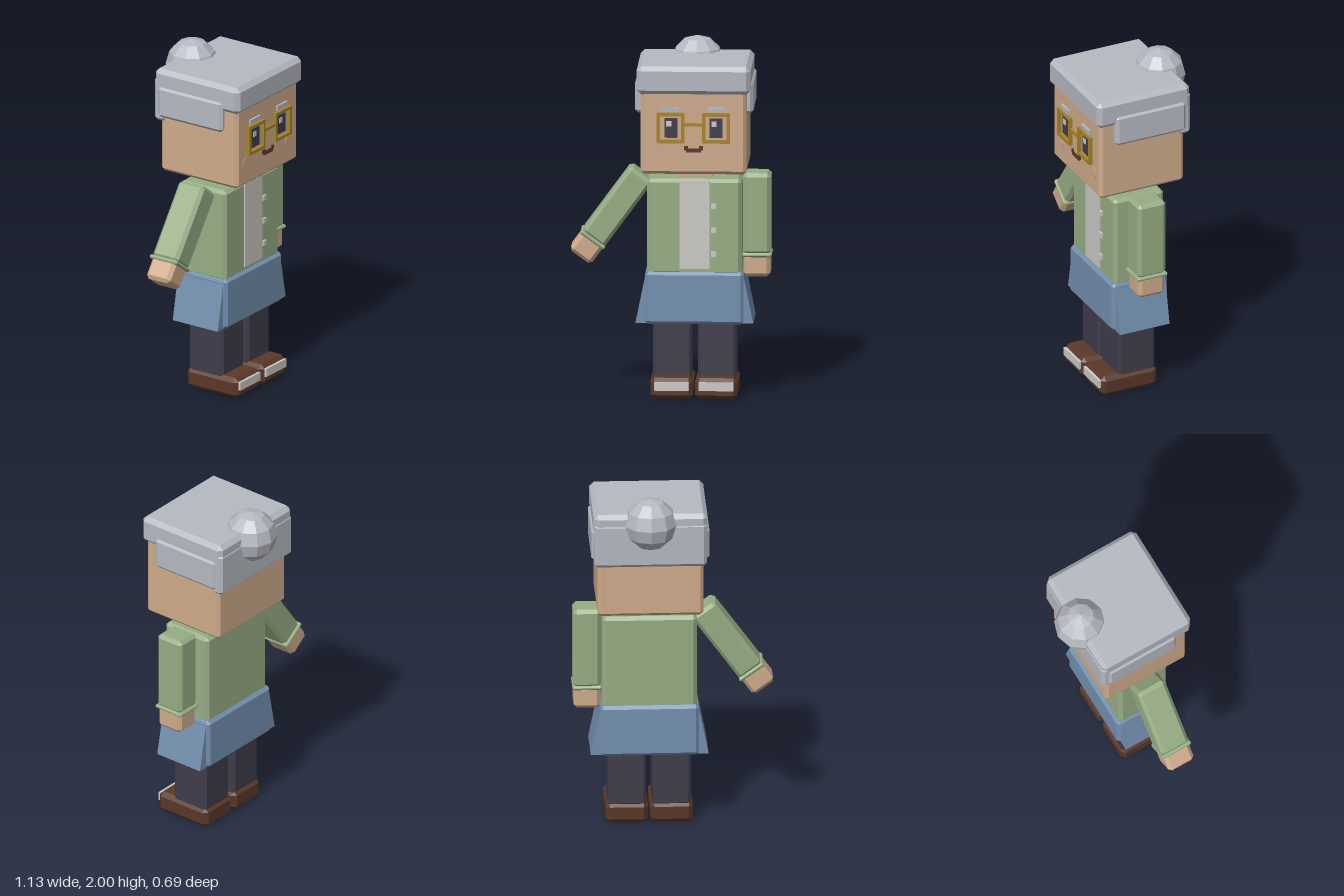
import * as THREE from 'three';
import { ConvexGeometry } from 'three/addons/geometries/ConvexGeometry.js';

const paint = (name, hex) => {
  const m = new THREE.MeshStandardMaterial({ color: hex });
  m.name = name;
  return m;
};

const CX = 0.132; // x of the body's centre line

// Box with flat chamfered edges
function chamferBox(w, h, d, b) {
  const pts = [];
  for (const x of [-1, 1]) for (const y of [-1, 1]) for (const z of [-1, 1]) {
    const X = w / 2, Y = h / 2, Z = d / 2;
    pts.push(
      new THREE.Vector3(x * X, y * (Y - b), z * (Z - b)),
      new THREE.Vector3(x * (X - b), y * Y, z * (Z - b)),
      new THREE.Vector3(x * (X - b), y * (Y - b), z * Z));
  }
  return new ConvexGeometry(pts);
}

export function createModel() {
  const skin = paint('skin', 0xcfab8b);
  const hair = paint('silver hair', 0xb5b9c1);
  const green = paint('cardigan green', 0x97ae85);
  const cream = paint('shirt cream', 0xcdcac6);
  const blue = paint('skirt blue', 0x7490b0);
  const navy = paint('dark trousers', 0x3f3d4b);
  const brown = paint('shoe brown', 0x593828);
  const gold = paint('glasses gold', 0xa88426);

  const model = new THREE.Group();
  model.name = 'figure';

  const add = (name, geometry, material, x = 0, y = 0, z = 0, parent = model) => {
    const mesh = new THREE.Mesh(geometry, material);
    mesh.name = name;
    mesh.position.set(x, y, z);
    parent.add(mesh);
    return mesh;
  };
  // Box given by its limits; b is the chamfer, 0 for a plain box
  const block = (name, material, [x0, x1], [y0, y1], [z0, z1], b = 0, parent = model) => {
    const w = x1 - x0, h = y1 - y0, d = z1 - z0;
    const g = b ? chamferBox(w, h, d, b) : new THREE.BoxGeometry(w, h, d);
    return add(name, g, material, (x0 + x1) / 2, (y0 + y1) / 2, (z0 + z1) / 2, parent);
  };
  const around = (c, half) => [c - half, c + half];

  // Legs and shoes
  for (const [side, s] of [['left', 1], ['right', -1]]) {
    const x = CX + s * 0.126;
    block(side + 'Leg', navy, around(x, 0.108), [0.1, 0.44], [-0.056, 0.176], 0.015);
    block(side + 'Shoe', brown, around(x, 0.12), [0, 0.12], [-0.068, 0.283], 0.024);
    block(side + 'ShoeBand', cream, around(x, 0.098), [0.052, 0.1], [0.286, 0.295]);
    block(side + 'ShoeBandBase', cream, around(x, 0.098), [0.052, 0.1], [0.277, 0.287]);
  }

  // Skirt with flared sides
  block('skirt', blue, around(CX, 0.278), [0.42, 0.72], [-0.115, 0.233], 0.018);
  const flare = new THREE.Shape([
    new THREE.Vector2(-0.332, 0.425), new THREE.Vector2(0.332, 0.425),
    new THREE.Vector2(0.274, 0.71), new THREE.Vector2(-0.274, 0.71)]);
  add('skirtFlare', new THREE.ExtrudeGeometry(flare, { depth: 0.31, bevelEnabled: false }),
    blue, CX, 0, -0.096);

  // Torso, shirt front and buttons
  block('cardigan', green, around(CX, 0.267), [0.7, 1.25], [-0.096, 0.218], 0.02);
  block('shirtFront', cream, [0.05, 0.219], [0.738, 1.242], [0.217, 0.226]);
  for (const y of [1.098, 0.96, 0.824]) {
    block('button', cream, around(0.24, 0.014), around(y, 0.015), [0.217, 0.23]);
  }
  block('neck', skin, around(CX, 0.1), [1.2, 1.34], [-0.037, 0.16]);

  // Arms hang from the top of the sleeve
  const arm = (side, x, y, swing) => {
    const g = new THREE.Group();
    g.name = side + 'Arm';
    g.position.set(x, y, 0.056);
    g.rotation.z = swing;
    block(side + 'Sleeve', green, around(0, 0.078), [-0.465, 0], around(0, 0.088), 0.02, g);
    block(side + 'Cuff', green, around(0, 0.083), [-0.478, -0.455], around(0, 0.094), 0.008, g);
    block(side + 'Hand', skin, around(0, 0.075), [-0.592, -0.46], around(0, 0.082), 0.02, g);
    model.add(g);
  };
  arm('left', 0.481, 1.27, 0);
  arm('right', -0.169, 1.26, -0.63);

  // Head and hair
  block('head', skin, around(CX, 0.298), [1.297, 1.86], [-0.205, 0.323], 0.018);
  block('hairTop', hair, around(CX, 0.321), [1.754, 1.914], [-0.236, 0.345], 0.025);
  block('hairBack', hair, around(CX, 0.318), [1.602, 1.86], [-0.24, -0.165], 0.018);
  for (const s of [1, -1]) {
    block('hairSide', hair, around(CX + s * 0.305, 0.028), [1.63, 1.817], [-0.205, 0.238], 0.018);
  }
  const bun = new THREE.SphereGeometry(0.15, 10, 6).rotateY(Math.PI / 2).toNonIndexed();
  bun.computeVertexNormals();
  add('hairBun', bun, hair, CX, 1.85, -0.195);

  // Eyes, brows, cheeks and glasses
  const rim = new THREE.Shape([[-1, -1], [1, -1], [1, 1], [-1, 1]]
    .map(([x, y]) => new THREE.Vector2(x * 0.078, y * 0.086)));
  rim.holes.push(new THREE.Path([[-1, -1], [-1, 1], [1, 1], [1, -1]]
    .map(([x, y]) => new THREE.Vector2(x * 0.06, y * 0.068))));
  const rimGeometry = new THREE.ExtrudeGeometry(rim, { depth: 0.02, bevelEnabled: false });
  for (const s of [1, -1]) {
    const x = CX + s * 0.127;
    block('eye', navy, around(x, 0.037), [1.508, 1.619], [0.322, 0.33]);
    block('eyeGlint', cream, [x - 0.026, x + 0.003], [1.572, 1.603], [0.329, 0.333]);
    block('eyebrow', hair, around(x + s * 0.004, 0.05), [1.655, 1.684], [0.321, 0.335]);
    add('glassesRim', rimGeometry, gold, x + s * 0.001, 1.565, 0.325);
    const cheek = add('cheek', new THREE.CylinderGeometry(0.04, 0.04, 0.006, 16),
      skin, CX + s * 0.208, 1.43, 0.323);
    cheek.rotation.x = Math.PI / 2;
  }
  block('glassesBridge', gold, around(CX, 0.052), [1.575, 1.592], [0.328, 0.342]);

  // Smile
  block('mouth', brown, around(CX, 0.043), [1.426, 1.447], [0.322, 0.331]);
  for (const s of [1, -1]) {
    block('mouthCorner', brown, around(CX + s * 0.043, 0.011), [1.436, 1.46], [0.322, 0.33]);
  }

  return model;
}
